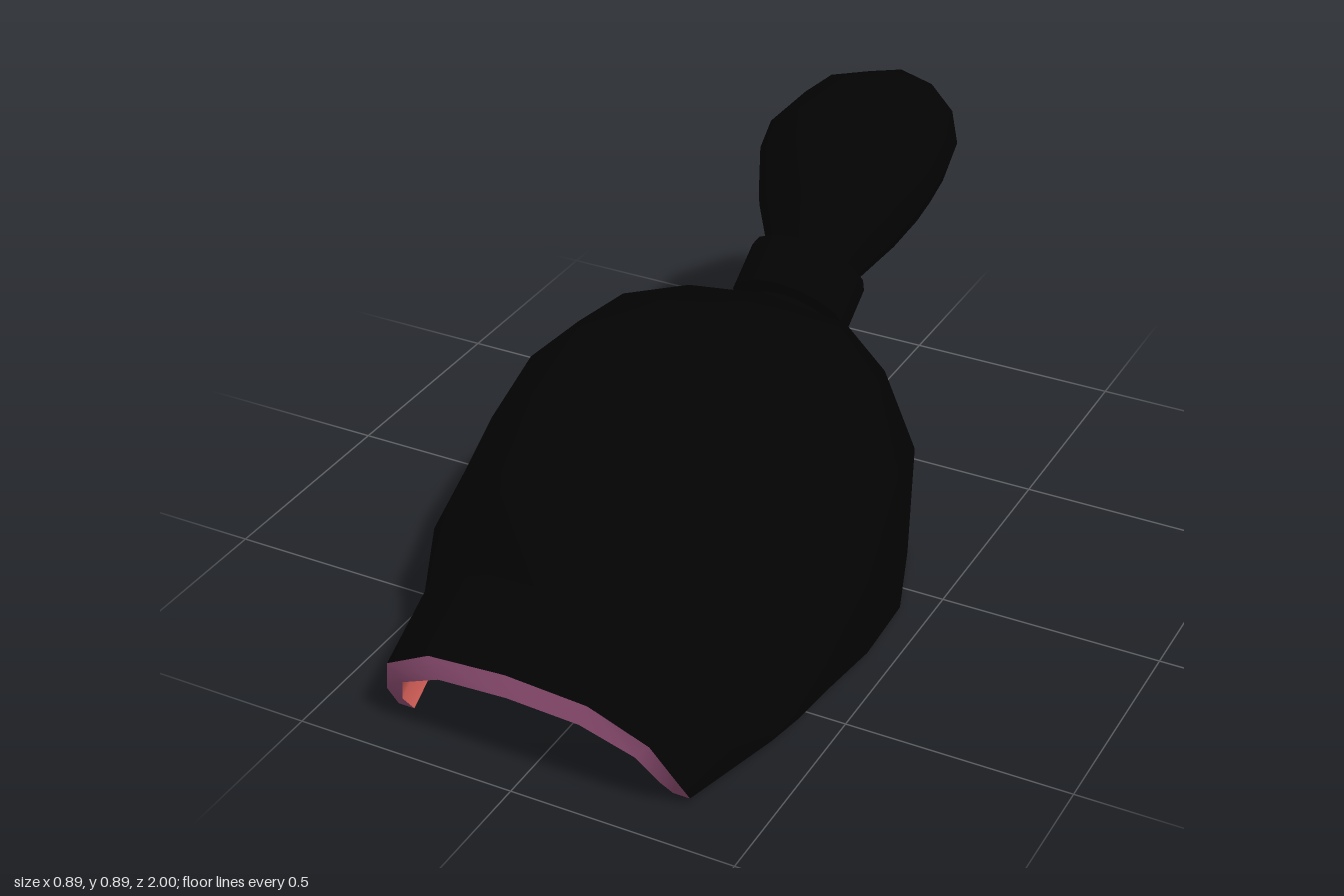
import * as THREE from 'three';
import { toCreasedNormals } from 'three/addons/utils/BufferGeometryUtils.js';

const mat = (color) => new THREE.MeshStandardMaterial({ color });
const black = mat(0x030303);
const purple = mat(0x9c567e);
const salmon = mat(0xea6a62);

// Skin a grid of points: rows run front to back, columns from +x over the top to -x
function skin(name, rows, material, flip = false) {
  const cols = rows[0].length;
  const index = [];
  for (let i = 0; i < rows.length - 1; i++) {
    for (let j = 0; j < cols - 1; j++) {
      const a = i * cols + j, b = a + cols;
      const quad = [a, b, b + 1, a, b + 1, a + 1];
      index.push(...(flip ? quad.reverse() : quad));
    }
  }
  const geo = new THREE.BufferGeometry().setFromPoints(rows.flat());
  geo.setIndex(index);
  const mesh = new THREE.Mesh(toCreasedNormals(geo, 0.95), material);
  mesh.name = name;
  return mesh;
}

// Half arches as fractions of width and height, crown to hem
const BRIM = [[0, 1], [0.53, 0.935], [0.88, 0.65], [0.985, 0.27], [1, 0]];
const JOIN = [[0, 1], [0.5, 0.96], [0.87, 0.7], [0.98, 0.32], [1, 0]];
const BOXY = [[0, 1], [0.5, 0.97], [0.93, 0.82], [0.99, 0.4], [1, 0]];
const BROW = [[0, 1], [0.5, 0.955], [0.77, 0.78], [0.96, 0.49], [1, 0]];
const DOME = [[0, 1], [0.54, 0.97], [0.8, 0.815], [0.98, 0.52], [1, 0]];
const BACK = [[0, 1], [0.52, 0.955], [0.78, 0.79], [0.99, 0.48], [0.97, 0]];

// Shell sections: arch, z at crown, z at hem, half width, crown height, hem height
const SHELL = [
  [BRIM, 1.0, 0.88, 0.34, 0.285, 0.02],
  [JOIN, 0.73, 0.66, 0.41, 0.3, 0.035],
  [BROW, 0.635, 0.58, 0.428, 0.51, 0.04],
  [BROW, 0.48, 0.46, 0.439, 0.62, 0.04],
  [DOME, 0.28, 0.28, 0.447, 0.65, 0.02],
  [DOME, 0.09, 0.09, 0.437, 0.643, 0.015],
  [BACK, -0.13, -0.125, 0.37, 0.575, 0.008],
  [BACK, -0.185, -0.19, 0.3, 0.49, 0.005],
  [BACK, -0.235, -0.245, 0.155, 0.35, 0.002],
];

// Lining sections: the shell moved inward by the wall thickness
const LINING = SHELL.map(([arch, zt, zb, w, h, base], i) => {
  const shift = i > 5 ? 0.04 : i === 2 ? -0.05 : i === 3 ? -0.03 : 0;
  return [arch, zt + shift, zb + shift, w - 0.038, h - 0.055, base];
});
LINING[1] = [BOXY, 0.63, 0.63, 0.365, 0.275, 0.038];

function shellRows(sections, endZ) {
  const rows = sections.map(([arch, zt, zb, w, h, base], i) => {
    const half = arch.map(([u, v]) => {
      const k = i === 0 ? Math.pow(v, 0.75) : v;
      return new THREE.Vector3(u * w, base + v * (h - base), zb + (zt - zb) * k);
    });
    const mirrored = half.slice(1).map((p) => new THREE.Vector3(-p.x, p.y, p.z));
    return [...half.reverse(), ...mirrored];
  });
  // Close the back wall down to the middle of the hem
  const end = new THREE.Vector3(0, 0, endZ);
  rows.push(rows[0].map(() => end.clone()));
  return rows;
}

// Plume sections: crown z, y, underside z, y, half width
const PLUME = [
  [-0.285, 0.61, -0.405, 0.455, 0.1],
  [-0.335, 0.73, -0.53, 0.505, 0.17],
  [-0.39, 0.835, -0.6, 0.525, 0.2],
  [-0.46, 0.88, -0.655, 0.54, 0.207],
  [-0.65, 0.89, -0.72, 0.55, 0.195],
  [-0.83, 0.83, -0.775, 0.543, 0.16],
  [-0.93, 0.72, -0.845, 0.53, 0.11],
  [-1.0, 0.4, -1.0, 0.4, 0],
];

function plumeRows(sides = 12) {
  return PLUME.map(([zt, yt, zb, yb, w]) =>
    Array.from({ length: sides + 1 }, (_, j) => {
      const t = (j / sides) * Math.PI * 2;
      const k = (1 + Math.cos(t)) / 2;
      return new THREE.Vector3(-Math.sin(t) * w, yb + (yt - yb) * k, zb + (zt - zb) * k);
    }));
}

export function createModel() {
  const group = new THREE.Group();
  const outer = shellRows(SHELL, -0.275);
  const inner = shellRows(LINING, -0.235);

  // Hollow shell: brim and dome outside, brim lining, dome lining
  group.add(skin('brim', outer.slice(0, 2), black));
  group.add(skin('dome', outer.slice(1), black));
  group.add(skin('brimLining', inner.slice(0, 2), salmon, true));
  group.add(skin('domeLining', inner.slice(1), black, true));

  // Rims joining outside and lining
  group.add(skin('brimEdge', [inner[0], outer[0]], purple));
  const last = outer[0].length - 1;
  const hem = (rows) => [...rows.map((r) => r[0]), ...rows.map((r) => r[last]).reverse()];
  const hems = [hem(outer), hem(inner)];
  const n = hems[0].length;
  group.add(skin('hem', hems.map((p) => p.slice(1, n - 1)), black));
  group.add(skin('leftBrimHem', hems.map((p) => p.slice(0, 2)), purple));
  group.add(skin('rightBrimHem', hems.map((p) => p.slice(n - 2)), purple));

  // Collar and stem on a slanted axis
  const axis = new THREE.Vector3(0, 0.564, -0.827).normalize();
  const addCylinder = (name, radius, length, y, z) => {
    const geo = new THREE.CylinderGeometry(radius, radius, length, 16);
    const mesh = new THREE.Mesh(geo, black);
    mesh.name = name;
    mesh.position.set(0, y, z);
    mesh.quaternion.setFromUnitVectors(new THREE.Vector3(0, 1, 0), axis);
    group.add(mesh);
  };
  addCylinder('collar', 0.136, 0.118, 0.507, -0.292);
  addCylinder('stem', 0.1, 0.09, 0.438, -0.21);

  // Curved plume ending in a point
  group.add(skin('plume', plumeRows(), black));
  return group;
}
